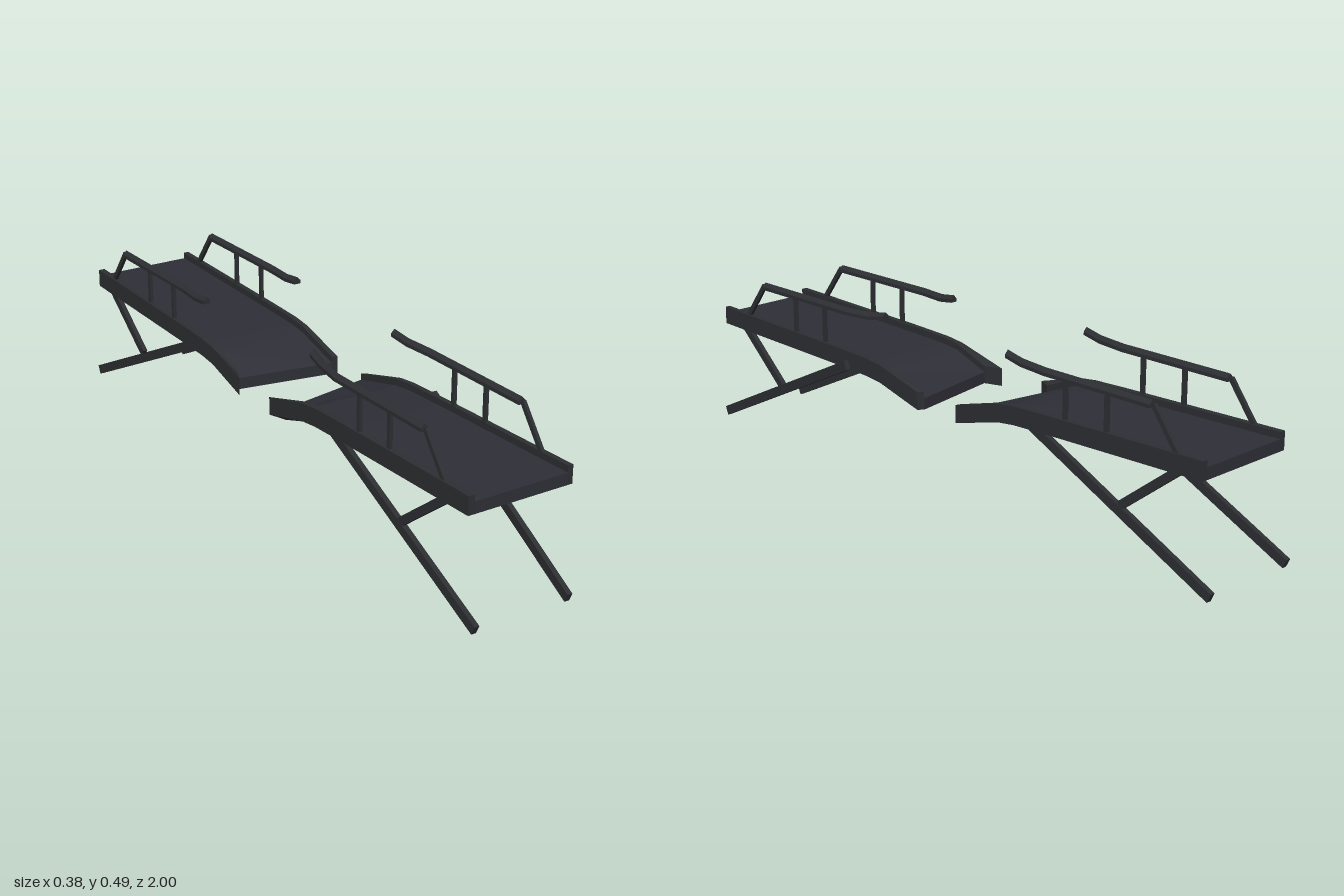
import * as THREE from 'three';

const deckMat = new THREE.MeshStandardMaterial({ color: 0x2e2e37 });
deckMat.name = 'deck dark slate';
deckMat.flatShading = true;
const beamMat = new THREE.MeshStandardMaterial({ color: 0x2d2e32 });
beamMat.name = 'beam charcoal';
beamMat.flatShading = true;

// Solid skin over a list of rings, each counter-clockwise seen from +z
function loft(name, rings, mat) {
  if (rings[0][0][2] < rings[rings.length - 1][0][2]) rings = rings.slice().reverse();
  const pos = [], n = rings[0].length;
  const tri = (a, b, c) => pos.push(...a, ...b, ...c);
  for (let s = 0; s < rings.length - 1; s++) {
    const a = rings[s], b = rings[s + 1];
    for (let i = 0; i < n; i++) {
      const j = (i + 1) % n;
      tri(a[i], b[i], b[j]);
      tri(a[i], b[j], a[j]);
    }
  }
  const first = rings[0], last = rings[rings.length - 1];
  for (let i = 1; i < n - 1; i++) {
    tri(first[0], first[i], first[i + 1]);
    tri(last[0], last[i + 1], last[i]);
  }
  const geo = new THREE.BufferGeometry();
  geo.setAttribute('position', new THREE.Float32BufferAttribute(pos, 3));
  geo.computeVertexNormals();
  const mesh = new THREE.Mesh(geo, mat);
  mesh.name = name;
  return mesh;
}

// Rectangular bar between two points
function beam(name, from, to, width, depth) {
  const a = new THREE.Vector3(...from), b = new THREE.Vector3(...to);
  const mesh = new THREE.Mesh(new THREE.BoxGeometry(width, depth, a.distanceTo(b)), beamMat);
  mesh.position.copy(a).add(b).multiplyScalar(0.5);
  mesh.lookAt(b);
  mesh.name = name;
  return mesh;
}

// Long strip following the deck's side profile, with its own broken end on each edge
function strip(name, x0, x1, height, end0, end1, profile, dir, mat) {
  const rings = profile.map(([z, y], i) => {
    const last = i === profile.length - 1;
    const z0 = dir * (last ? end0 : z), z1 = dir * (last ? end1 : z);
    return [[x0, y, z0], [x1, y, z1], [x1, y + height, z1], [x0, y + height, z0]];
  });
  return loft(name, rings, mat);
}

// Handrail with a ridged top, bent at its broken end
function handrail(x, endX, dir, r) {
  const path = [[x, 0, r.top], [x, 0, r.bend], [x + (endX - x) * 0.6, 0.002, r.bend * 0.4 + r.end * 0.6],
    [endX, 0.012, r.end]];
  const rings = path.map(([px, dy, z]) =>
    [[-0.011, 0.462], [0.011, 0.462], [0.011, 0.472], [0, 0.483], [-0.011, 0.472]]
      .map(([ox, y]) => [px + ox, y + dy, dir * z]));
  return loft('handrail', rings, beamMat);
}

function bridgeHalf(name, dir, c) {
  const half = new THREE.Group();
  half.name = name;

  // deck and raised kerbs
  half.add(strip('deck', -0.155, 0.135, 0.034, c.deckEnd[0], c.deckEnd[1], c.profile, dir, deckMat));
  half.add(strip('rightKerb', -0.174, -0.155, 0.053, c.tip, c.deckEnd[0], c.profile, dir, beamMat));
  half.add(strip('leftKerb', 0.135, 0.151, 0.053, c.deckEnd[1], c.leftTip, c.profile, dir, beamMat));

  // railings
  [-0.164, 0.141].forEach((x, i) => {
    const railing = new THREE.Group();
    railing.name = i ? 'leftRailing' : 'rightRailing';
    railing.add(handrail(x, c.railEndX[i], dir, c.rail));
    c.posts.forEach(z => railing.add(beam('post', [x, 0.33, dir * z], [x, 0.47, dir * z], 0.01, 0.012)));
    railing.add(beam('slopedPost', [x, 0.35, dir * (c.rail.top + 0.095)],
      [x, 0.472, dir * (c.rail.top + 0.004)], 0.01, 0.014));
    half.add(railing);
  });

  // slanted legs and their braces
  c.legs.forEach(([footX, topX], i) => {
    const side = i ? 'left' : 'right';
    const joinX = footX + (topX - footX) * 0.5;
    half.add(beam(side + 'Leg', [footX, 0.015, dir * 0.994], [topX, c.legTop[0], dir * c.legTop[1]], 0.015, 0.028));
    half.add(beam(side + 'Brace', [joinX, 0.175, dir * c.brace[0]],
      [i ? 0.142 : -0.164, 0.322, dir * c.brace[1]], 0.014, 0.024));
  });
  return half;
}

export function createModel() {
  const model = new THREE.Group();
  model.name = 'brokenBridge';
  model.add(bridgeHalf('frontHalf', 1, {
    profile: [[0.96, 0.316], [0.42, 0.302], [0.29, 0.297], [0.23, 0.29], [0.065, 0.247]],
    deckEnd: [0.115, 0.06], tip: 0.06, leftTip: 0.072,
    rail: { top: 0.765, bend: 0.38, end: 0.23 }, railEndX: [-0.141, 0.126],
    posts: [0.62, 0.485],
    legs: [[-0.165, -0.165], [0.131, 0.181]], legTop: [0.325, 0.34], brace: [0.675, 0.865],
  }));
  model.add(bridgeHalf('backHalf', -1, {
    profile: [[0.96, 0.316], [0.42, 0.302], [0.31, 0.298], [0.25, 0.291], [0.085, 0.247]],
    deckEnd: [0.14, 0.09], tip: 0.1, leftTip: 0.085,
    rail: { top: 0.785, bend: 0.42, end: 0.265 }, railEndX: [-0.18, 0.128],
    posts: [0.635, 0.49],
    legs: [[-0.165, -0.165], [0.142, 0.142]], legTop: [0.312, 0.37], brace: [0.69, 0.88],
  }));
  return model;
}
